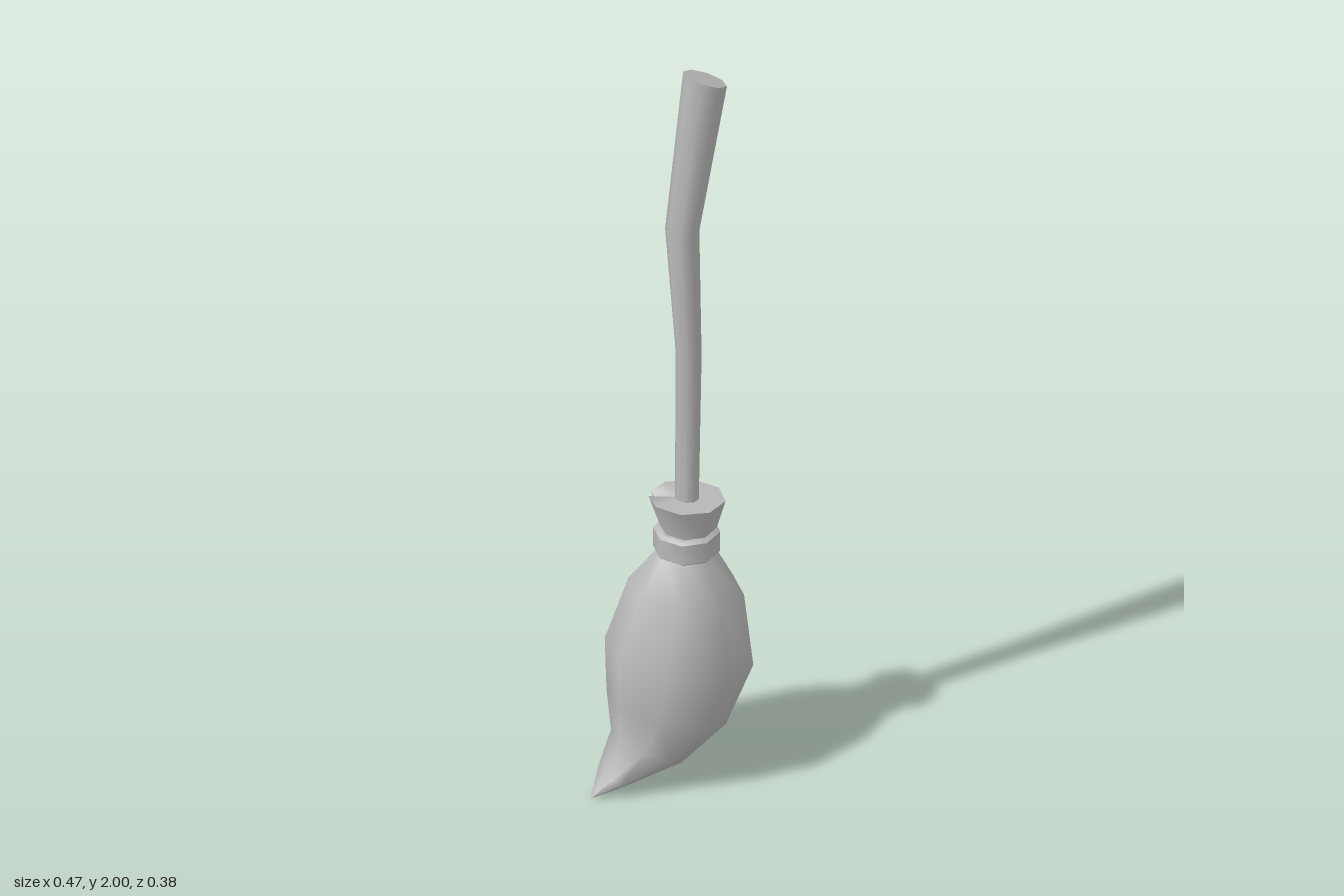
import * as THREE from 'three';

const OCTAGON = [0, 45, 90, 135, 180, 225, 270, 315];

// Point on a tilted ring: [leftX, leftY, rightX, rightY, halfDepth]
function ringPoint([lx, ly, rx, ry, depth], degrees, pull = 1, drop = 0) {
  const a = THREE.MathUtils.degToRad(degrees);
  const t = Math.cos(a) * 0.5 * pull;
  return [
    (lx + rx) / 2 + (rx - lx) * t,
    (ly + ry) / 2 + (ry - ly) * t - drop,
    Math.sin(a) * depth * pull,
  ];
}

// Skin rings listed from top to bottom; sharp keeps the edges between rings hard
function loft(rings, { sharp = false, angles = OCTAGON, notch = -1 } = {}) {
  const positions = [], index = [], n = angles.length;
  const addRing = (i) => {
    const start = positions.length / 3;
    angles.forEach((a, k) => {
      const cut = k === notch && i === 0;
      positions.push(...ringPoint(rings[i], a, cut ? 0.7 : 1, cut ? 0.055 : 0));
    });
    return start;
  };
  let top = addRing(0);
  for (let i = 1; i < rings.length; i++) {
    if (sharp && i > 1) top = addRing(i - 1);
    const low = addRing(i);
    for (let k = 0; k < n; k++) {
      const m = (k + 1) % n;
      index.push(top + k, top + m, low + k, top + m, low + m, low + k);
    }
    top = low;
  }
  // End caps with their own vertices
  for (const i of [0, rings.length - 1]) {
    if (rings[i][4] === 0) continue;
    const start = addRing(i), centre = positions.length / 3;
    positions.push(...ringPoint(rings[i], 0, 0));
    for (let k = 0; k < n; k++) {
      const a = start + k, b = start + (k + 1) % n;
      index.push(centre, ...(i === 0 ? [b, a] : [a, b]));
    }
  }
  const g = new THREE.BufferGeometry();
  g.setAttribute('position', new THREE.Float32BufferAttribute(positions, 3));
  g.setIndex(index);
  g.computeVertexNormals();
  return g;
}

export function createModel() {
  const model = new THREE.Group();
  model.name = 'broom';
  const grey = new THREE.MeshStandardMaterial({ color: 0xb8b8b8 });
  grey.name = 'plain grey';
  const add = (name, geometry) => {
    const mesh = new THREE.Mesh(geometry, grey);
    mesh.name = name;
    model.add(mesh);
  };

  // Crooked handle, thicker toward the top
  add('handle', loft([
    [0.07, 2.0, 0.178, 1.955, 0.058],
    [0.01, 1.56, 0.095, 1.565, 0.045],
    [0.04, 1.2, 0.105, 1.19, 0.034],
    [0.037, 0.7, 0.096, 0.7, 0.03],
  ]));

  // Flared straw ends above the binding, with a notch at the back
  add('collar', loft([
    [-0.03, 0.78, 0.167, 0.768, 0.095],
    [0.005, 0.68, 0.14, 0.68, 0.07],
    [0.005, 0.61, 0.14, 0.61, 0.07],
  ], { angles: [0, 45, 90, 135, 180, 216, 225, 236, 270, 315], notch: 6 }));

  // Binding with slightly bevelled rims
  add('binding', loft([
    [-0.006, 0.688, 0.142, 0.69, 0.076],
    [-0.018, 0.68, 0.151, 0.683, 0.086],
    [-0.018, 0.626, 0.151, 0.626, 0.086],
    [-0.006, 0.618, 0.142, 0.618, 0.076],
  ], { sharp: true }));

  // Bulging bristles swept to a bent tip
  add('bristles', loft([
    [0.0, 0.625, 0.143, 0.62, 0.075],
    [-0.08, 0.53, 0.21, 0.5, 0.15],
    [-0.147, 0.365, 0.232, 0.3, 0.188],
    [-0.147, 0.235, 0.152, 0.135, 0.155],
    [-0.14, 0.14, 0.02, 0.045, 0.103],
    [-0.194, 0.063, -0.15, 0.016, 0.048],
    [-0.234, 0, -0.234, 0, 0],
  ]));

  return model;
}
